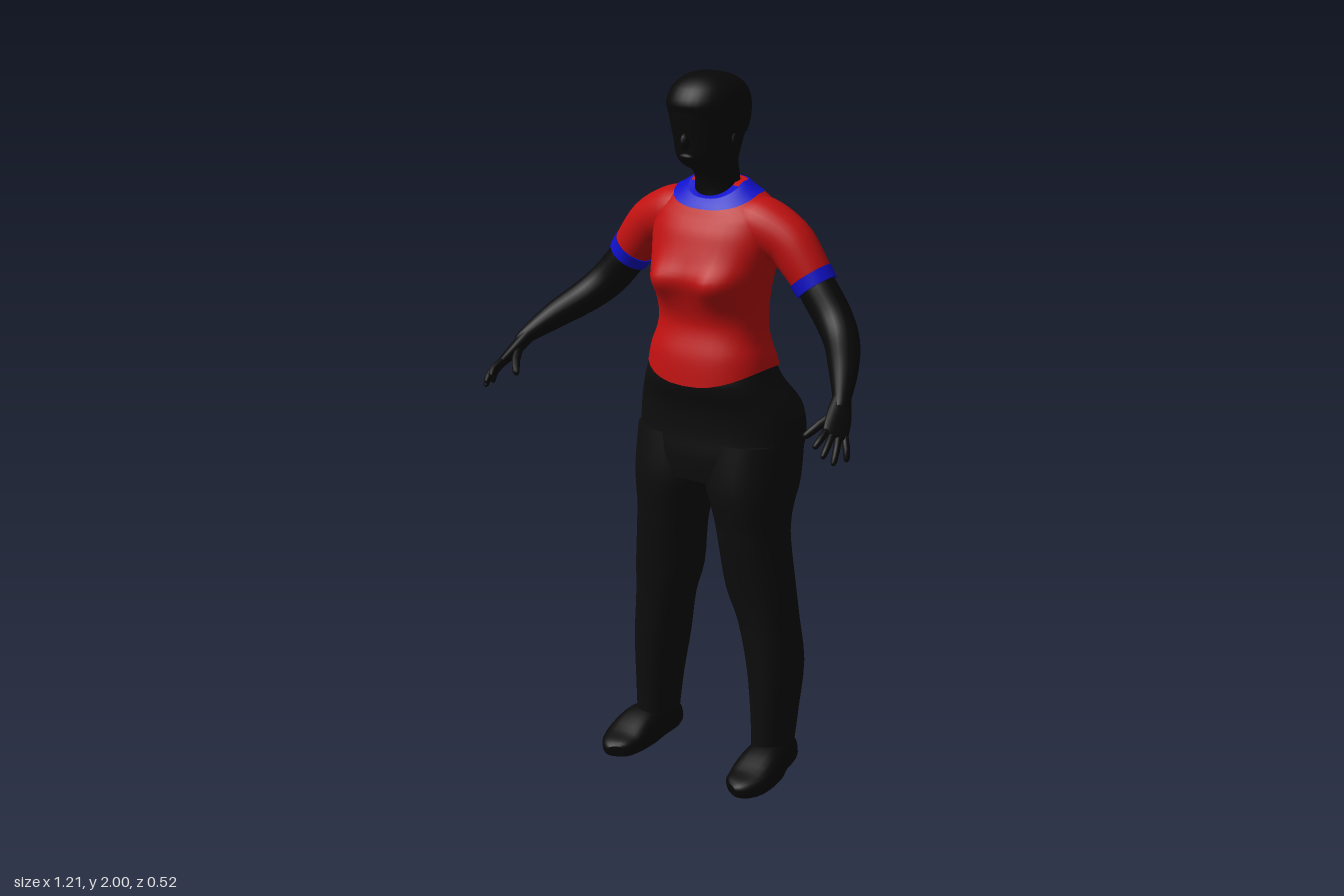
import * as THREE from 'three';

const mat = (name, color) => Object.assign(new THREE.MeshStandardMaterial({ color }), { name });
const V = (x, y, z) => new THREE.Vector3(x, y, z);
const SEG = 32;

// Superellipse point on the unit circle
function unit(j, n, e) {
  const a = (j / n) * Math.PI * 2, c = Math.cos(a), s = Math.sin(a);
  return [Math.sign(c) * Math.abs(c) ** (2 / e), Math.sign(s) * Math.abs(s) ** (2 / e)];
}

// Catmull-Rom resampling of a table of rows
function resample(table, steps) {
  const out = [], last = table.length - 1;
  const row = i => table[Math.min(last, Math.max(0, i))];
  for (let i = 0; i < last; i++) for (let k = 0; k < steps; k++) {
    const t = k / steps;
    out.push(row(i).map((p1, c) => {
      const p0 = row(i - 1)[c], p2 = row(i + 1)[c], p3 = row(i + 2)[c];
      return 0.5 * (2 * p1 + (p2 - p0) * t + (2 * p0 - 5 * p1 + 4 * p2 - p3) * t * t
        + (3 * p1 - p0 - 3 * p2 + p3) * t ** 3);
    }));
  }
  out.push(table[last]);
  return out;
}

// Skin over closed rings, with separate end caps; side -1 mirrors it in x
function loft(rings, side = 1) {
  const n = rings[0].length, pos = [], idx = [];
  const add = p => pos.push(p.x * side, p.y, p.z) / 3 - 1;
  const tri = (a, b, c) => (side > 0 ? idx.push(a, b, c) : idx.push(a, c, b));
  rings.forEach(r => r.forEach(add));
  for (let i = 0; i < rings.length - 1; i++) for (let j = 0; j < n; j++) {
    const a = i * n + j, b = i * n + (j + 1) % n;
    tri(a, b, b + n);
    tri(a, b + n, a + n);
  }
  for (const end of [0, 1]) {
    const ring = rings[end ? rings.length - 1 : 0];
    const mid = ring.reduce((m, p) => m.add(p), V(0, 0, 0)).divideScalar(n);
    const c = add(mid), ids = ring.map(add);
    ids.forEach((a, j) => {
      const b = ids[(j + 1) % n];
      end ? tri(c, a, b) : tri(c, b, a);
    });
  }
  const g = new THREE.BufferGeometry();
  g.setAttribute('position', new THREE.Float32BufferAttribute(pos, 3));
  g.setIndex(idx);
  g.computeVertexNormals();
  return g;
}

// Level ring: half-width rx about cx, reaching from zb (back) to zf (front)
function levelRing([y, cx, rx, zf, zb], e = 2.2, grow = 0) {
  const zc = (zf + zb) / 2, rz = (zf - zb) / 2 + grow;
  return Array.from({ length: SEG }, (_, j) => {
    const [c, s] = unit(j, SEG, e);
    return V(cx + s * (rx + grow), y, zc + c * rz);
  });
}

// Rings square to a path; rows are x, y, z, radius along hint, radius across
function tube(table, hint, side, { steps = 4, n = 20, e = 2 } = {}) {
  const rows = resample(table, steps), at = i => V(...rows[i].slice(0, 3));
  return loft(rows.map((r, i) => {
    const d = at(Math.min(rows.length - 1, i + 1)).sub(at(Math.max(0, i - 1))).normalize();
    const u = hint.clone().addScaledVector(d, -hint.dot(d)).normalize();
    const v = d.clone().cross(u);
    return Array.from({ length: n }, (_, j) => {
      const [c, s] = unit(j, n, e);
      return at(i).addScaledVector(u, c * r[3]).addScaledVector(v, s * r[4]);
    });
  }), side);
}

// Shirt body ring: bust, raised side hem and dipped neckline
const smooth = THREE.MathUtils.smoothstep;
function shirtRing(row, grow = 0) {
  const y0 = row[0];
  return levelRing(row, 2.3, grow).map((p, j) => {
    const a = (j / SEG) * Math.PI * 2, front = Math.max(0, Math.cos(a)), sin2 = Math.sin(a) ** 2;
    const bust = Math.exp(-(((Math.abs(p.x) - 0.095) / 0.05) ** 2) - ((y0 - 1.44) / 0.05) ** 2);
    if (front > 0) p.z += 0.028 * bust * Math.min(1, front * 2);
    p.y += 0.05 * sin2 * (1 - smooth(y0, 1.16, 1.3)) - 0.045 * front * smooth(y0, 1.56, 1.69);
    return p;
  });
}

export function createModel() {
  const skin = mat('skin and hair', 0x080808), cloth = mat('trouser black', 0x0d0d0d);
  const red = mat('shirt red', 0xc01010), blue = mat('trim blue', 0x1010cc);
  const model = new THREE.Group();
  model.name = 'standing figure';
  const part = (name, geometry, material) => {
    const m = new THREE.Mesh(geometry, material);
    m.name = name;
    model.add(m);
    return m;
  };

  // Head and neck
  const headRows = resample([
    [1.64, -0.005, 0.072, -0.02, -0.145], [1.69, -0.005, 0.062, -0.022, -0.14],
    [1.73, -0.006, 0.06, -0.01, -0.138], [1.755, -0.008, 0.064, 0.035, -0.138],
    [1.78, -0.01, 0.074, 0.056, -0.142], [1.82, -0.01, 0.083, 0.06, -0.152],
    [1.87, -0.011, 0.096, 0.066, -0.168], [1.92, -0.012, 0.099, 0.07, -0.168],
    [1.96, -0.012, 0.085, 0.05, -0.148], [1.985, -0.012, 0.056, 0.015, -0.108],
    [1.996, -0.012, 0.022, -0.018, -0.06]], 3);
  part('head', loft(headRows.map(r => levelRing(r, 2.15))), skin);
  // Hair cap with a hairline raised at the forehead
  part('hair', loft(headRows.filter(r => r[0] > 1.82).map(r => levelRing(r, 2.15, 0.005).map((p, j) => {
    const front = Math.max(0, Math.cos((j / SEG) * Math.PI * 2));
    p.y += 0.004 + 0.05 * front * (1 - smooth(r[0], 1.82, 1.94));
    return p;
  }))), skin);
  const nose = part('nose', new THREE.SphereGeometry(1, 12, 8), skin);
  nose.scale.set(0.013, 0.024, 0.018);
  nose.position.set(-0.01, 1.825, 0.06);
  const lips = part('lips', new THREE.SphereGeometry(1, 12, 8), skin);
  lips.scale.set(0.024, 0.01, 0.012);
  lips.position.set(-0.01, 1.785, 0.055);

  // Shirt body and collar
  const shirt = resample([
    [1.16, 0, 0.19, 0.087, -0.2], [1.235, 0, 0.177, 0.077, -0.181], [1.3, 0, 0.165, 0.057, -0.167],
    [1.34, 0, 0.163, 0.054, -0.165], [1.395, 0, 0.165, 0.068, -0.175], [1.45, 0, 0.172, 0.082, -0.19],
    [1.5, 0, 0.185, 0.068, -0.198], [1.55, 0, 0.195, 0.05, -0.2], [1.6, 0, 0.192, 0.032, -0.19],
    [1.64, 0, 0.18, 0.02, -0.18], [1.67, 0, 0.148, 0.01, -0.168], [1.69, 0, 0.108, 0, -0.155],
    [1.708, 0, 0.08, -0.015, -0.142]], 4);
  part('shirt body', loft(shirt.map(r => shirtRing(r))), red);
  part('collar', loft(shirt.filter(r => r[0] > 1.679).map(r => shirtRing(r, 0.005))), blue);

  // Trouser seat
  part('trouser seat', loft(resample([
    [0.88, 0, 0.225, 0.055, -0.205], [0.95, 0, 0.246, 0.06, -0.238], [1.02, 0, 0.25, 0.055, -0.257],
    [1.09, 0, 0.238, 0.06, -0.249], [1.165, 0, 0.198, 0.084, -0.2],
    [1.22, 0, 0.178, 0.068, -0.178]], 4).map(r => levelRing(r, 2.4))), cloth);

  for (const [side, label] of [[1, 'left'], [-1, 'right']]) {
    // Trouser leg: height, inner x, outer x, front z, back z
    const leg = [
      [0.1, 0.155, 0.255, 0.01, -0.14], [0.2, 0.148, 0.262, 0.01, -0.155], [0.335, 0.13, 0.27, 0.012, -0.175],
      [0.47, 0.1, 0.262, 0.016, -0.162], [0.57, 0.062, 0.256, 0.028, -0.155], [0.7, 0.05, 0.237, 0.05, -0.16],
      [0.76, 0.04, 0.232, 0.056, -0.172], [0.81, 0.026, 0.235, 0.063, -0.19], [0.88, 0.002, 0.243, 0.066, -0.218],
      [1, 0.004, 0.242, 0.05, -0.235]].map(([y, i, o, f, b]) => [y, (i + o) / 2, (o - i) / 2, f, b]);
    part(`${label} trouser leg`, loft(resample(leg, 3).map(r => levelRing(r, 2.3)), side), cloth);

    // Shoe, from heel to toe
    part(`${label} shoe`, tube([
      [0.205, 0.068, -0.142, 0.03, 0.032], [0.206, 0.064, -0.12, 0.044, 0.048],
      [0.212, 0.064, -0.05, 0.053, 0.056], [0.22, 0.055, 0.01, 0.064, 0.054],
      [0.222, 0.038, 0.08, 0.064, 0.036], [0.212, 0.032, 0.125, 0.046, 0.026],
      [0.206, 0.03, 0.14, 0.025, 0.016]], V(1, 0, 0), side, { steps: 3, n: 24, e: 2.8 }), skin);

    // Sleeve and cuff
    part(`${label} sleeve`, tube([
      [0.06, 1.605, -0.085, 0.07, 0.06], [0.135, 1.595, -0.085, 0.08, 0.079],
      [0.222, 1.562, -0.088, 0.068, 0.07], [0.272, 1.51, -0.087, 0.06, 0.065],
      [0.314, 1.454, -0.087, 0.054, 0.058]], V(0, 0, 1), side, { n: 28 }), red);
    part(`${label} cuff`, tube([
      [0.297, 1.477, -0.087, 0.06, 0.064], [0.318, 1.449, -0.087, 0.058, 0.061]],
    V(0, 0, 1), side, { steps: 1, n: 28 }), blue);

    // Arm
    part(`${label} arm`, tube([
      [0.295, 1.48, -0.087, 0.046, 0.05], [0.325, 1.44, -0.086, 0.05, 0.054],
      [0.38, 1.375, -0.075, 0.05, 0.053], [0.43, 1.325, -0.04, 0.048, 0.048],
      [0.485, 1.275, 0.035, 0.039, 0.039], [0.53, 1.225, 0.11, 0.025, 0.024],
      [0.54, 1.205, 0.13, 0.024, 0.02]], V(0, 0, 1), side), skin);

    // Palm, four fingers and thumb
    const across = V(-0.55, 0.35, 0.7).normalize(), knuckle = V(0.562, 1.155, 0.187);
    part(`${label} palm`, tube([
      [0.525, 1.232, 0.1, 0.024, 0.022], [0.545, 1.19, 0.145, 0.035, 0.019],
      [0.562, 1.155, 0.187, 0.036, 0.013], [0.566, 1.147, 0.196, 0.028, 0.008]], across, side), skin);
    const tips = [[0.6, 1.09, 0.19], [0.588, 1.09, 0.235], [0.568, 1.11, 0.255], [0.545, 1.133, 0.258]];
    const finger = (name, base, tip, r) => {
      const mid = base.clone().lerp(tip, 0.55).add(V(0.004, 0.004, 0.003));
      const row = (p, k) => [...p.toArray(), r * k, r * k];
      part(`${label} ${name}`, tube([row(base, 1), row(mid, 0.95), row(base.clone().lerp(tip, 0.93), 0.75),
        row(tip, 0.3)], V(1, 0.2, 0), side, { steps: 2, n: 10 }), skin);
    };
    tips.forEach((t, i) => finger(`finger ${i + 1}`,
      knuckle.clone().addScaledVector(across, (i - 1.5) * 0.018), V(...t), 0.01));
    finger('thumb', V(0.535, 1.198, 0.14), V(0.485, 1.14, 0.218), 0.013);

    // Ear
    const ear = part(`${label} ear`, new THREE.SphereGeometry(1, 12, 8), skin);
    ear.scale.set(0.01, 0.028, 0.018);
    ear.position.set(-0.01 + side * 0.086, 1.825, -0.05);
  }
  return model;
}
